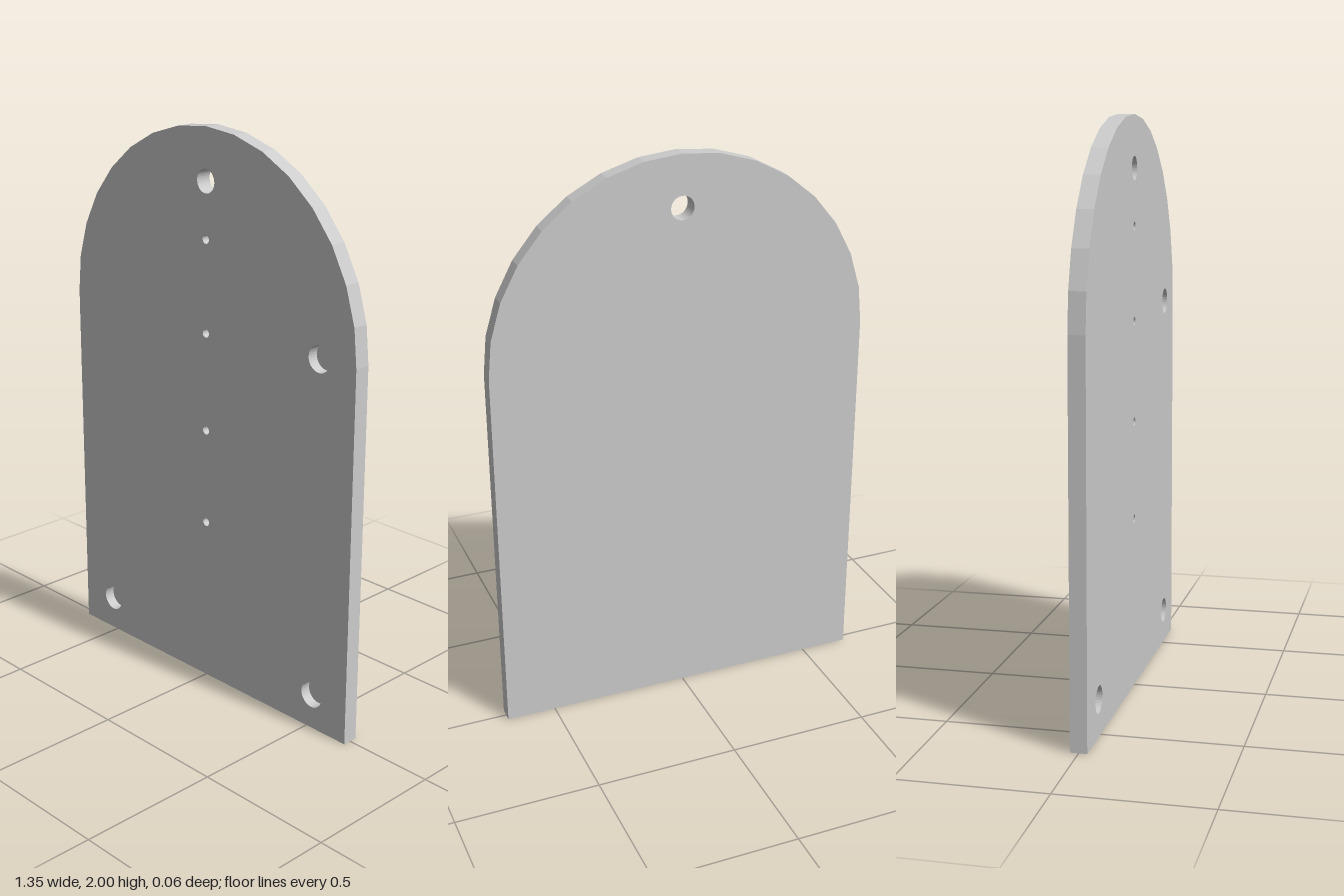
import * as THREE from 'three';

const R = 0.675, SPRING = 1.325, HALF = 0.0285, POCKET_FLOOR = -0.01;
const material = new THREE.MeshStandardMaterial({ color: 0xcccccc, flatShading: true });

// Counter-clockwise ring of points
function ring(x, y, r, n = 32) {
  return Array.from({ length: n }, (_, i) => {
    const a = (i / n) * Math.PI * 2;
    return new THREE.Vector2(x + r * Math.cos(a), y + r * Math.sin(a));
  });
}

// Straight wall along a closed outline; faces outward, or inward for holes
function wall(points, zBack, zFront, inward = false) {
  const pts = inward ? [...points].reverse() : points;
  const pos = [];
  pts.forEach((a, i) => {
    const b = pts[(i + 1) % pts.length];
    pos.push(a.x, a.y, zBack, b.x, b.y, zBack, b.x, b.y, zFront);
    pos.push(a.x, a.y, zBack, b.x, b.y, zFront, a.x, a.y, zFront);
  });
  const g = new THREE.BufferGeometry();
  g.setAttribute('position', new THREE.Float32BufferAttribute(pos, 3));
  g.computeVertexNormals();
  return g;
}

// Flat sheet with holes, facing +z
function sheet(outline, holes = []) {
  const shape = new THREE.Shape(outline);
  shape.holes = holes.map((h) => new THREE.Path(h));
  return new THREE.ShapeGeometry(shape);
}

export function createModel() {
  const group = new THREE.Group();
  group.name = 'archedPlate';
  const add = (name, geometry) => {
    const mesh = new THREE.Mesh(geometry, material);
    mesh.name = name;
    group.add(mesh);
  };

  // Arch-topped outline with a 16-sided half circle
  const outline = [new THREE.Vector2(-R, 0), new THREE.Vector2(R, 0)];
  for (let i = 0; i <= 16; i++) {
    const a = (i / 16) * Math.PI;
    outline.push(new THREE.Vector2(R * Math.cos(a), SPRING + R * Math.sin(a)));
  }

  // Hanging hole, three magnet pockets and a column of small pilot pockets
  const hangingHole = ring(0, 1.82, 0.041);
  const pockets = [
    ...[[0.52, 1.325], [0.52, 0.125], [-0.52, 0.125]].map(([x, y]) => ['roundPocket', ring(x, y, 0.046)]),
    ...[1.625, 1.3, 0.95, 0.605].map((y) => ['pilotPocket', ring(0, y, 0.015, 24)]),
  ];

  // Plate faces and edge
  add('frontFace', sheet(outline, [hangingHole, ...pockets.map((p) => p[1])]).translate(0, 0, HALF));
  add('backFace', sheet(outline, [hangingHole]).rotateY(Math.PI).translate(0, 0, -HALF));
  add('plateEdge', wall(outline, -HALF, HALF));
  add('hangingHole', wall(hangingHole, -HALF, HALF, true));

  // Blind pockets
  for (const [name, points] of pockets) {
    add(name + 'Wall', wall(points, POCKET_FLOOR, HALF, true));
    add(name + 'Floor', sheet(points).translate(0, 0, POCKET_FLOOR));
  }
  return group;
}
